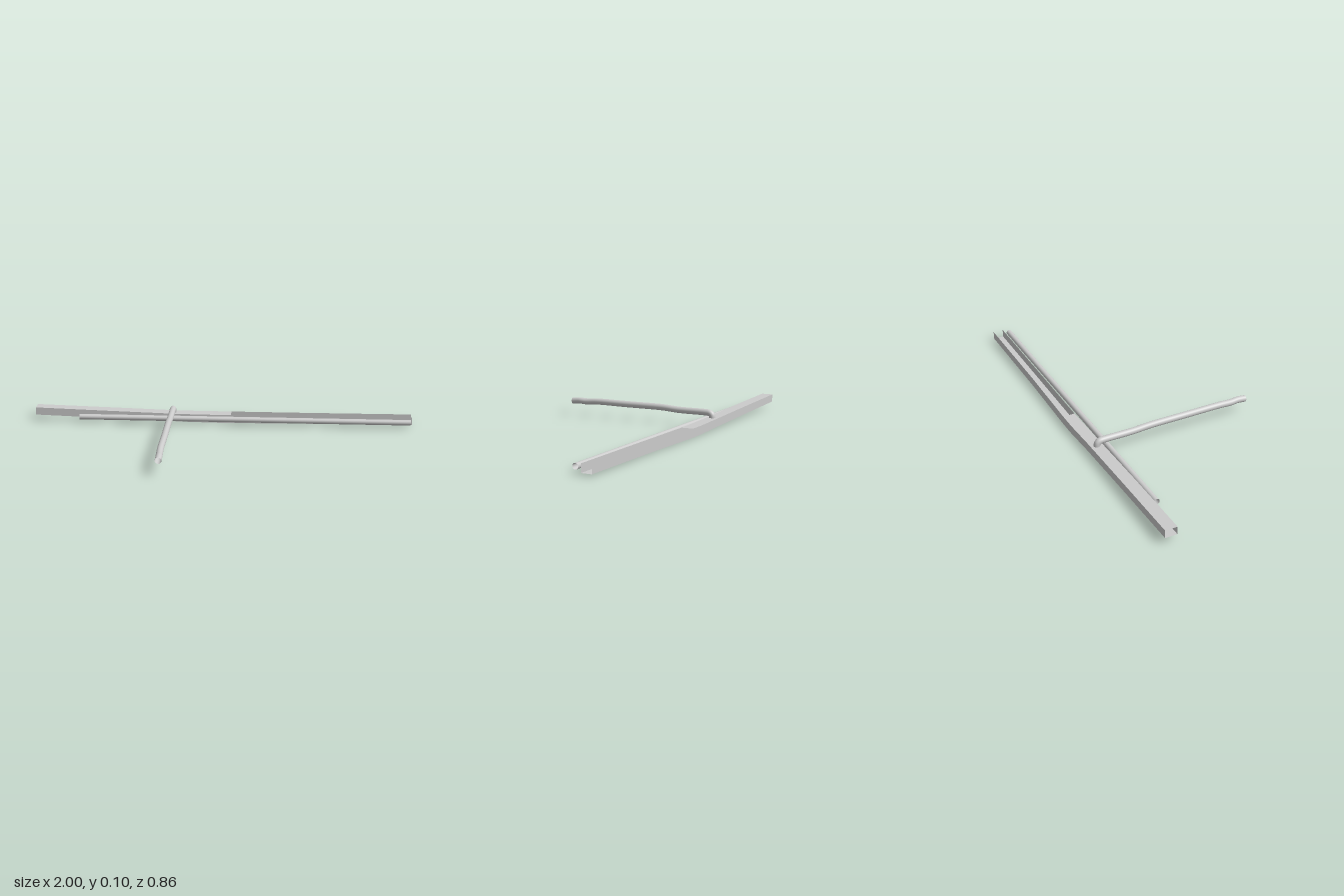
import * as THREE from 'three';

const sheet = new THREE.MeshStandardMaterial({ color: 0xcccccc, flatShading: true, side: THREE.DoubleSide });
const round = new THREE.MeshStandardMaterial({ color: 0xcccccc, side: THREE.DoubleSide });

// Thin folded sheet swept through stations [x, yBottom, yTop, zBack, zFront]
function foldedSheet(name, stations, closedTop) {
  const pos = [], idx = [];
  for (const [x, y0, y1, zb, zf] of stations) {
    pos.push(x, y1, zb, x, y0, zb, x, y0, zf, x, y1, zf);
  }
  const sides = closedTop ? 4 : 3;
  for (let s = 0; s < stations.length - 1; s++) {
    for (let k = 0; k < sides; k++) {
      const a = s * 4 + k, b = s * 4 + (k + 1) % 4;
      idx.push(a, b, a + 4, b, b + 4, a + 4);
    }
  }
  const indexed = new THREE.BufferGeometry();
  indexed.setAttribute('position', new THREE.Float32BufferAttribute(pos, 3));
  indexed.setIndex(idx);
  const geo = indexed.toNonIndexed();
  geo.computeVertexNormals();
  const mesh = new THREE.Mesh(geo, sheet);
  mesh.name = name;
  return mesh;
}

function pipe(name, points, radius, segments) {
  const path = new THREE.CatmullRomCurve3(points.map(p => new THREE.Vector3(...p)), false, 'centripetal');
  const mesh = new THREE.Mesh(new THREE.TubeGeometry(path, segments, radius, 24), round);
  mesh.name = name;
  return mesh;
}

export function createModel() {
  const model = new THREE.Group();
  model.name = 'channelWithHandle';

  // Closed box half of the beam, rising gently to its free end
  model.add(foldedSheet('boxBeam', [
    [-1, 0.029, 0.069, -0.42, -0.36],
    [-0.6, 0.017, 0.058, -0.42, -0.358],
    [-0.22, 0.005, 0.047, -0.421, -0.36],
    [-0.05, 0.001, 0.045, -0.426, -0.363],
    [0.045, 0.0, 0.045, -0.426, -0.366],
  ], true));

  // Open-topped half of the beam
  model.add(foldedSheet('openChannel', [
    [0.045, 0.0, 0.045, -0.426, -0.366],
    [0.45, 0.004, 0.047, -0.42, -0.366],
    [1, 0.008, 0.049, -0.419, -0.366],
  ], false));

  // Hollow rod running beside the beam
  const rod = pipe('sideRod', [[-0.76, 0.031, -0.333], [0.99, 0.031, -0.333]], 0.0145, 1);
  model.add(rod);

  // Handle: short upright, elbow, then a long slightly wavy arm
  model.add(pipe('handle', [
    [-0.263, 0.03, -0.389], [-0.263, 0.05, -0.389], [-0.263, 0.063, -0.385],
    [-0.263, 0.071, -0.374], [-0.263, 0.073, -0.355], [-0.263, 0.0735, -0.2],
    [-0.263, 0.079, -0.11], [-0.262, 0.079, 0.1], [-0.262, 0.079, 0.28],
    [-0.26, 0.075, 0.345], [-0.258, 0.077, 0.385], [-0.258, 0.073, 0.428],
  ], 0.0165, 120));

  return model;
}
